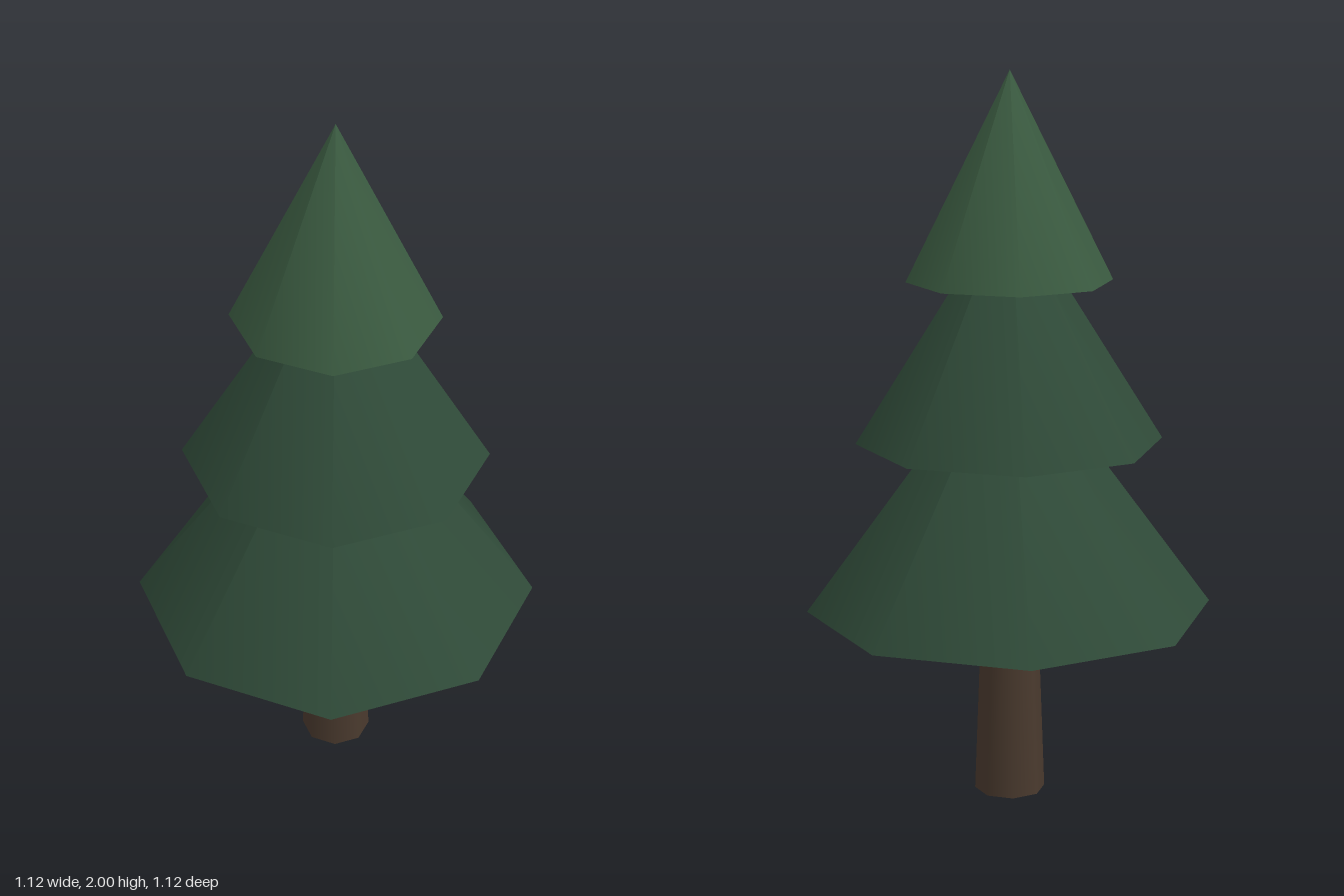
import * as THREE from 'three';

const SIDES = 8;

export function createModel() {
  const tree = new THREE.Group();
  tree.name = 'pineTree';

  // Tapered solid standing on baseY
  function addTapered(name, topRadius, bottomRadius, baseY, height, color) {
    const geometry = new THREE.CylinderGeometry(topRadius, bottomRadius, height, SIDES);
    geometry.translate(0, baseY + height / 2, 0);
    const mesh = new THREE.Mesh(geometry, new THREE.MeshStandardMaterial({ color }));
    mesh.name = name;
    tree.add(mesh);
  }

  // Trunk, its top tucked just inside the lowest tier
  addTapered('trunk', 0.077, 0.098, 0, 0.56, 0x4a3a2e);

  // Foliage tiers, each apex hidden inside the tier above
  const tiers = [
    { name: 'lowerFoliage', radius: 0.56, baseY: 0.53, height: 0.76, color: 0x2f4a38 },
    { name: 'middleFoliage', radius: 0.42, baseY: 1.0, height: 0.67, color: 0x2f4a38 },
    { name: 'upperFoliage', radius: 0.28, baseY: 1.44, height: 0.56, color: 0x3a5a40 },
  ];
  for (const { name, radius, baseY, height, color } of tiers) {
    addTapered(name, 0, radius, baseY, height, color);
  }

  return tree;
}
